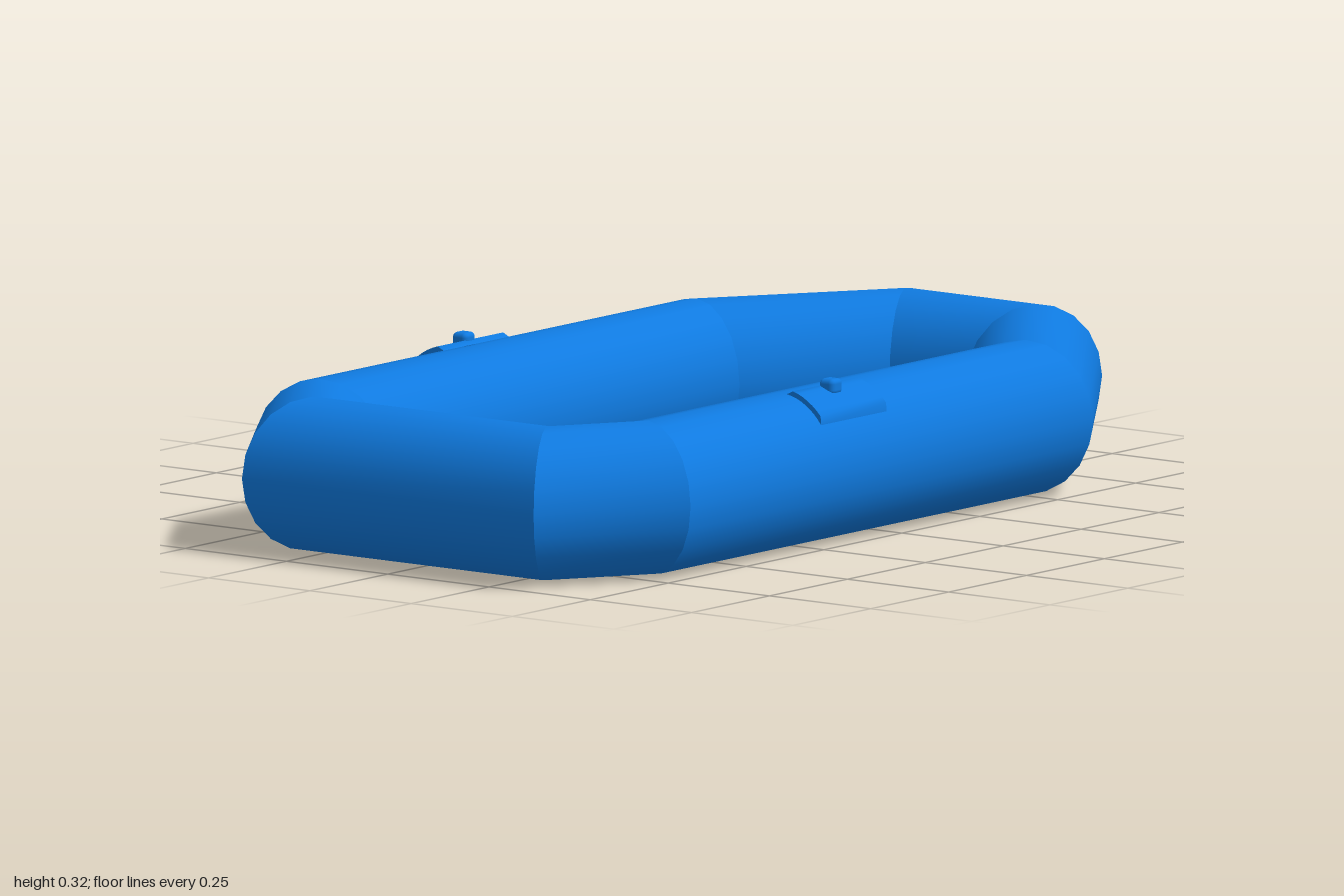
import * as THREE from 'three';
import { RoundedBoxGeometry } from 'three/addons/geometries/RoundedBoxGeometry.js';

const HALF_H = 0.1525, HALF_W = 0.135, TUBE_Z = 0.405;

// Plan corners [x, z] of the mitred tube ring, outer and inner
const outer = [[-0.73, 0.54], [0.56, 0.54], [1, 0.225], [1, -0.225],
  [0.56, -0.54], [-0.73, -0.54], [-1, -0.36], [-1, 0.36]];
const inner = [[-0.65, 0.27], [0.48, 0.27], [0.73, 0.092], [0.73, -0.092],
  [0.48, -0.27], [-0.65, -0.27], [-0.735, -0.218], [-0.735, 0.218]];

// Plan point on a corner's mitre line: u = 0 outer, u = 1 inner
const mitre = (i, u) => [0, 1].map((k) => outer[i][k] + (inner[i][k] - outer[i][k]) * u);

// Smooth surface between two rings of points; closed joins the ring's ends
function loft(a, b, closed) {
  const n = a.length, index = [];
  for (let j = 0; j < (closed ? n : n - 1); j++) {
    const k = (j + 1) % n;
    index.push(j, n + j, n + k, j, n + k, k);
  }
  const geo = new THREE.BufferGeometry();
  geo.setAttribute('position', new THREE.Float32BufferAttribute([...a, ...b].flat(), 3));
  geo.setIndex(index);
  geo.computeVertexNormals();
  return geo;
}

// Elliptical tube section lying in a corner's mitre plane
function section(i, sides = 20) {
  return Array.from({ length: sides }, (_, j) => {
    const t = (j / sides) * Math.PI * 2;
    const [x, z] = mitre(i, (1 - Math.cos(t)) / 2);
    return [x, HALF_H * (1 + Math.sin(t)), z];
  });
}

export function createModel() {
  const model = new THREE.Group();
  model.name = 'inflatableBoat';
  const blue = new THREE.MeshStandardMaterial({ color: 0x0f7ae0 });
  blue.name = 'blue';
  blue.side = THREE.DoubleSide;

  const add = (name, geo, parent = model) => {
    const mesh = new THREE.Mesh(geo, blue);
    mesh.name = name;
    parent.add(mesh);
    return mesh;
  };

  // Eight straight tube segments
  const tube = new THREE.Group();
  tube.name = 'tubeRing';
  model.add(tube);
  outer.forEach((_, i) => add('tubeSegment', loft(section(i), section((i + 1) % 8), true), tube));

  // Floor slab below mid height, its rim tucked into the tube
  const plan = new THREE.Shape(inner.map((_, i) => {
    const [x, z] = mitre(i, 0.92);
    return new THREE.Vector2(x, -z);
  }));
  const floor = new THREE.ExtrudeGeometry(plan, { depth: 0.035, bevelEnabled: false });
  floor.rotateX(-Math.PI / 2);
  add('floor', floor).position.y = 0.08;

  // Oarlock on each side: raised curved pad hugging the tube, and a low stud
  for (const side of [1, -1]) {
    const oarlock = new THREE.Group();
    oarlock.name = side > 0 ? 'frontOarlock' : 'backOarlock';
    model.add(oarlock);
    const arc = (x, lift) => Array.from({ length: 9 }, (_, j) => {
      const t = THREE.MathUtils.degToRad(50 - j * 5.25);
      const h = j === 0 || j === 8 ? 0 : lift;
      return [x, HALF_H + (HALF_H + h) * Math.cos(t), side * (TUBE_Z + (HALF_W + h) * Math.sin(t))];
    });
    const [x0, x1] = side > 0 ? [-0.27, -0.06] : [-0.06, -0.27];
    add('pad', loft(arc(x0, 0.01), arc(x1, 0.01), false), oarlock);
    add('padEnd', loft(arc(x0, 0), arc(x0, 0.01), false), oarlock);
    add('padEnd', loft(arc(x1, 0.01), arc(x1, 0), false), oarlock);
    add('stud', new RoundedBoxGeometry(0.036, 0.032, 0.036, 2, 0.01), oarlock)
      .position.set(-0.167, 0.309, side * 0.453);
  }
  return model;
}
